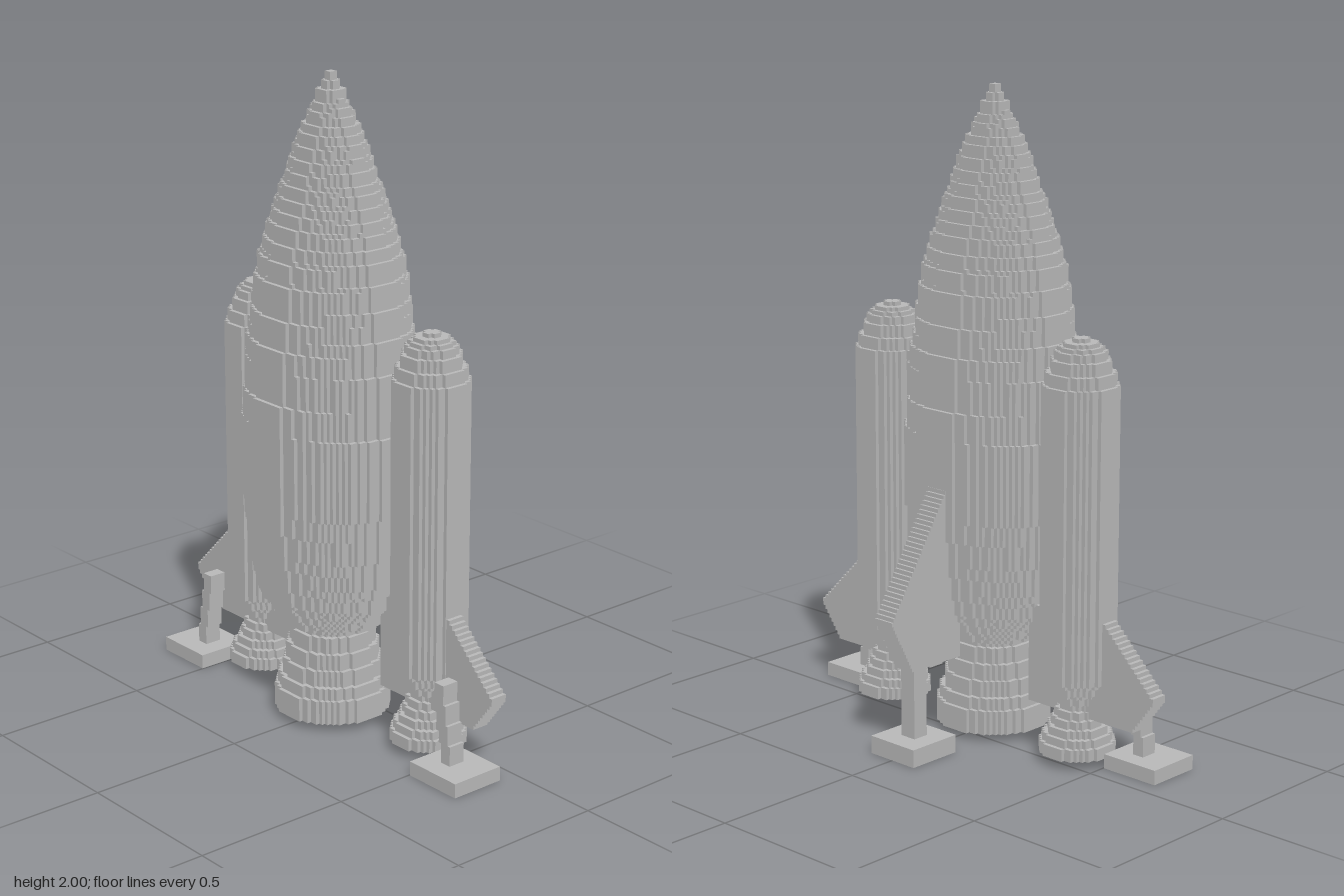
import * as THREE from 'three';
import { mergeGeometries } from 'three/addons/utils/BufferGeometryUtils.js';

const V = 0.0125; // size of one building block
const snap = (v) => Math.round(v / V) * V;

// Linear lookup in a list of [position, value] pairs
function sample(points, t) {
  let i = 0;
  while (i < points.length - 2 && t > points[i + 1][0]) i++;
  const [a, va] = points[i], [b, vb] = points[i + 1];
  return THREE.MathUtils.lerp(va, vb, THREE.MathUtils.clamp((t - a) / (b - a), 0, 1));
}

// Staircase outline points from rows [low, high, start, end]
function stepPoints(rows) {
  const merged = [];
  for (const [lo, hi, s, e] of rows) {
    const last = merged[merged.length - 1];
    if (last && Math.abs(last[0] - lo) < 1e-6 && Math.abs(last[1] - hi) < 1e-6) last[3] = e;
    else merged.push([lo, hi, s, e]);
  }
  const pts = [];
  const add = (x, y) => {
    const p = new THREE.Vector2(x, y), q = pts[pts.length - 1];
    if (!q || q.distanceTo(p) > 1e-6) pts.push(p);
  };
  for (const [, hi, s, e] of merged) { add(hi, s); add(hi, e); }
  for (const [lo, , s, e] of merged.reverse()) { add(lo, e); add(lo, s); }
  return pts;
}

// Blocky ellipse
function discPoints(rx, rz) {
  const n = Math.max(1, Math.round(rz / V)), rows = [];
  for (let j = -n; j < n; j++) {
    const k = (j + 0.5) / n;
    const w = Math.max(V, snap(rx * Math.sqrt(1 - k * k)));
    rows.push([-w, w, j * V, (j + 1) * V]);
  }
  return stepPoints(rows);
}

// Stack of blocky discs following a radius profile; bore is an optional inner profile
function stack(profile, depthRatio = 1, bore = null) {
  const y0 = profile[0][0], y1 = profile[profile.length - 1][0];
  const count = Math.round((y1 - y0) / V), layers = [];
  for (let i = 0; i < count; i++) {
    const y = y0 + i * V, mid = y + V / 2;
    const r = sample(profile, mid);
    const h = bore && mid < bore[bore.length - 1][0] ? snap(sample(bore, mid)) : 0;
    const outer = discPoints(snap(r), snap(r * depthRatio));
    const key = [snap(r).toFixed(4), snap(r * depthRatio).toFixed(4), h.toFixed(4)].join();
    const last = layers[layers.length - 1];
    if (last && last.key === key) last.height += V;
    else layers.push({ key, outer, h, y, height: V });
  }
  return mergeGeometries(layers.map(({ outer, h, y, height }) => {
    const shape = new THREE.Shape(outer);
    if (h > 0) shape.holes.push(new THREE.Path(discPoints(h, h)));
    return new THREE.ExtrudeGeometry(shape, { depth: height, bevelEnabled: false })
      .rotateX(-Math.PI / 2).translate(0, y, 0);
  }));
}

// Upright plate with stepped edges, centred on its thickness
function plate(inner, outer, thickness, step = V) {
  const y0 = outer[0][0], y1 = outer[outer.length - 1][0];
  const n = Math.round((y1 - y0) / step), rows = [];
  for (let i = 0; i < n; i++) {
    const s = y0 + (y1 - y0) * i / n, e = y0 + (y1 - y0) * (i + 1) / n, m = (s + e) / 2;
    rows.push([sample(inner, m), sample(outer, m), s, e]);
  }
  return new THREE.ExtrudeGeometry(new THREE.Shape(stepPoints(rows)), { depth: thickness, bevelEnabled: false })
    .translate(0, 0, -thickness / 2);
}

export function createModel() {
  const model = new THREE.Group();
  model.name = 'rocket';
  const grey = new THREE.MeshStandardMaterial({ color: 0xb8b8b8 });
  grey.name = 'grey';
  const add = (name, geometry, x = 0, y = 0, z = 0) => {
    const mesh = new THREE.Mesh(geometry, grey);
    mesh.name = name;
    mesh.position.set(x, y, z);
    model.add(mesh);
    return mesh;
  };

  // Main hull, slightly flattened front to back, and its hollow engine bell
  const hull = [[0.3125, 0.16], [0.41, 0.235], [0.5, 0.258], [0.6, 0.273], [0.75, 0.284], [0.95, 0.282],
    [1.07, 0.276], [1.2, 0.264], [1.4, 0.234], [1.5, 0.212], [1.6, 0.178], [1.8, 0.104], [1.92, 0.048], [2, 0.008]];
  add('hull', stack(hull, 0.88), 0, 0, 0.1125);
  const bell = [[0.025, 0.18], [0.1, 0.17], [0.2, 0.138], [0.325, 0.112]];
  add('mainNozzle', stack(bell, 1, [[0.025, 0.152], [0.1, 0.142], [0.2, 0.1], [0.26, 0.07]]), 0, 0, 0.1125);

  // Side boosters with bells, fins and landing legs
  const booster = [[0.175, 0.05], [0.2, 0.062], [0.255, 0.1], [0.28, 0.115], [1.04, 0.115], [1.15, 0.108],
    [1.22, 0.09], [1.265, 0.068], [1.285, 0.046], [1.3, 0.02]];
  const smallBell = [[0.03, 0.117], [0.08, 0.1], [0.13, 0.072], [0.18, 0.052]];
  const smallBore = [[0.03, 0.092], [0.08, 0.075], [0.13, 0.04]];
  const finEdge = [[0.148, 0.62], [0.26, 0.705], [0.456, 0.509]];
  const finRoot = [[0.148, 0.21], [0.456, 0.21]];
  for (const side of [1, -1]) {
    const label = side > 0 ? 'left' : 'right';
    const turn = side > 0 ? 0 : Math.PI;
    add(label + 'Booster', stack(booster), side * 0.39, 0, 0.065);
    add(label + 'Nozzle', stack(smallBell, 1, smallBore), side * 0.39, 0, 0.065);
    add(label + 'Fin', plate(finRoot, finEdge, 0.056).rotateY(turn), 0, 0, 0.072);
    const strut = plate([[0.045, 0.571], [0.29, 0.53]], [[0.045, 0.609], [0.29, 0.568]], 0.055, 0.06);
    add(label + 'LegStrut', strut.rotateY(turn), 0, 0, 0.146);
    add(label + 'FootPad', new THREE.BoxGeometry(0.196, 0.045, 0.178), side * 0.6, 0.0225, 0.149);
  }

  // Rear fin with its landing leg
  const rearEdge = [[0.276, 0.28], [0.445, 0.366], [0.81, 0.135]];
  add('rearFin', plate([[0.276, 0.075], [0.81, 0.075]], rearEdge, 0.072).rotateY(Math.PI / 2));
  add('rearLegStrut', new THREE.BoxGeometry(0.055, 0.24, 0.053), 0, 0.165, -0.239);
  add('rearFootPad', new THREE.BoxGeometry(0.18, 0.056, 0.182), 0, 0.028, -0.242);
  return model;
}
